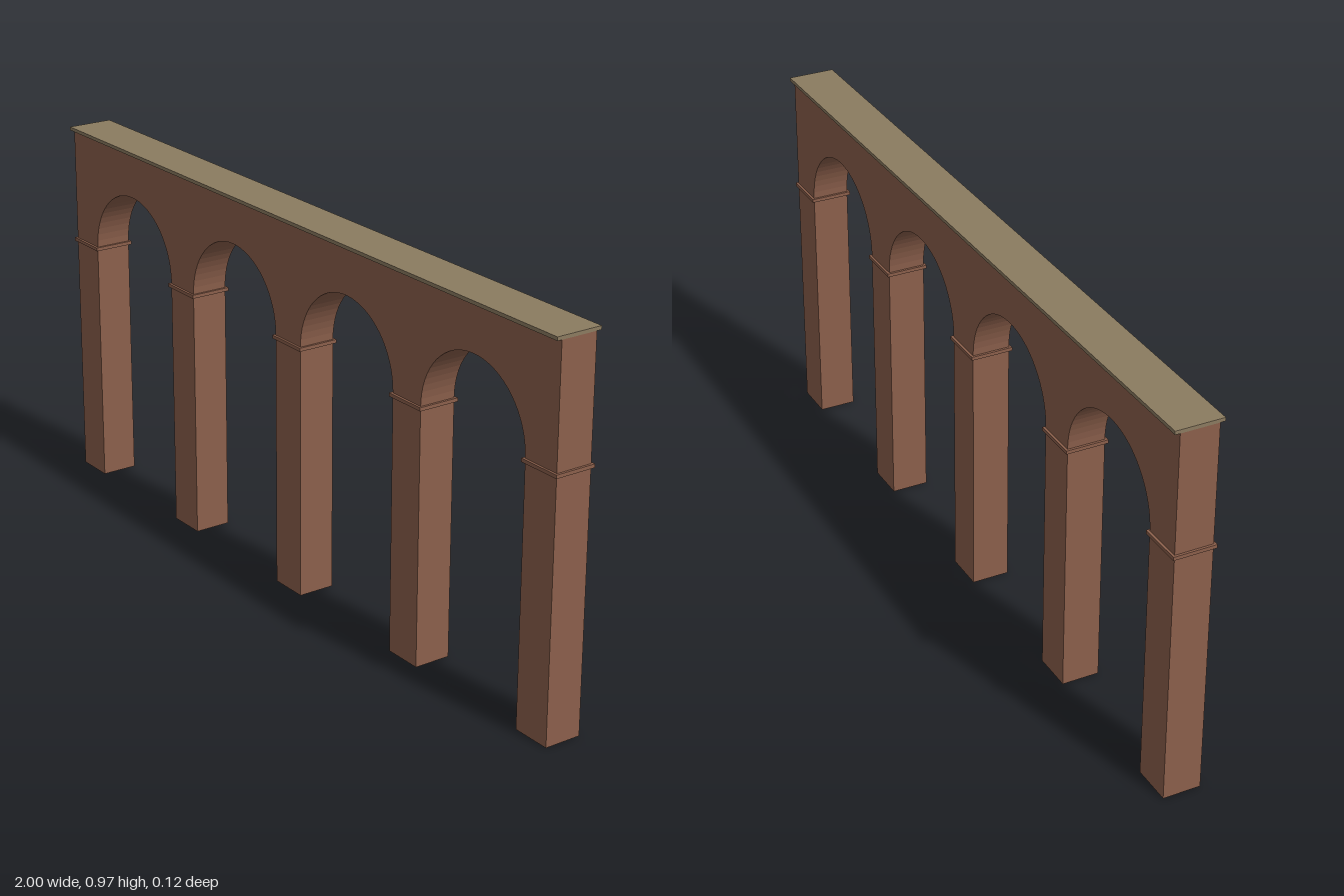
import * as THREE from 'three';

const PIERS = 5, SPACING = 0.4706, PIER_W = 0.104, DEPTH = 0.096;
const SPRING = 0.658, WALL_TOP = 0.959, SLAB = 0.009;
const END = SPACING * (PIERS - 1) / 2 + PIER_W / 2;
const RADIUS = (SPACING - PIER_W) / 2;

export function createModel() {
  const group = new THREE.Group();
  const brick = new THREE.MeshStandardMaterial({ color: 0x8b5f4b, flatShading: true });
  brick.name = 'brick';
  const stone = new THREE.MeshStandardMaterial({ color: 0x8b7b60, flatShading: true });
  stone.name = 'stone';

  const add = (name, geometry, material, x, y, z) => {
    const mesh = new THREE.Mesh(geometry, material);
    mesh.name = name;
    mesh.position.set(x, y, z);
    group.add(mesh);
  };

  // Piers, each with a thin projecting ledge where the arches spring
  const pierGeo = new THREE.BoxGeometry(PIER_W, SPRING, DEPTH);
  const ledgeGeo = new THREE.BoxGeometry(PIER_W + 0.012, 0.009, DEPTH + 0.012);
  for (let i = 0; i < PIERS; i++) {
    const x = (i - (PIERS - 1) / 2) * SPACING;
    add('pier', pierGeo, brick, x, SPRING / 2, 0);
    add('pierLedge', ledgeGeo, brick, x, 0.6535, 0);
  }

  // Wall over the piers, its underside cut by semicircular arches
  const wall = new THREE.Shape();
  wall.moveTo(-END, WALL_TOP);
  wall.lineTo(-END, SPRING);
  for (let i = 0; i < PIERS - 1; i++) {
    const x = (i - (PIERS - 2) / 2) * SPACING;
    wall.lineTo(x - RADIUS, SPRING);
    wall.absarc(x, SPRING, RADIUS, Math.PI, 0, true);
  }
  wall.lineTo(END, SPRING);
  wall.lineTo(END, WALL_TOP);
  wall.closePath();
  const wallGeo = new THREE.ExtrudeGeometry(wall, { depth: DEPTH, bevelEnabled: false, curveSegments: 16 });
  add('archWall', wallGeo, brick, 0, 0, -DEPTH / 2);

  // Deck slab overhanging front and back
  add('deck', new THREE.BoxGeometry(END * 2, SLAB, 0.121), stone, 0, WALL_TOP + SLAB / 2, 0);

  return group;
}
